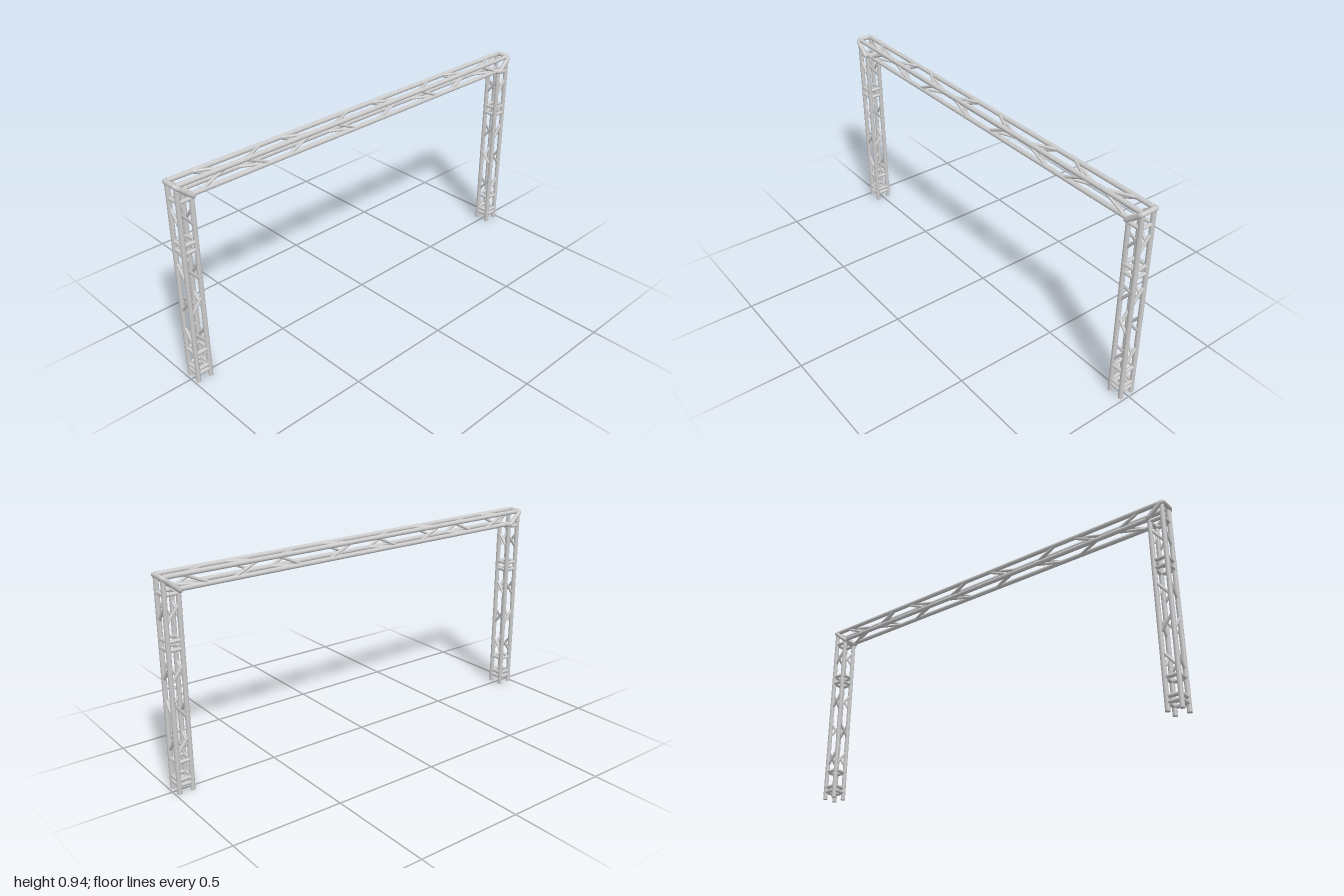
import * as THREE from 'three';

const material = new THREE.MeshStandardMaterial({ color: 0xcccccc });
const V = (x, y, z) => new THREE.Vector3(x, y, z);

const R = 0.0105;          // main tube radius
const BRACE = 0.0065;      // diagonal radius
const RUNG = 0.0085;       // ladder rung radius
const D = 0.031;           // half spacing of the main tubes in z
const OUT = 0.982, IN = 0.921;   // leg tube centres in x
const TOP = 0.934, LOW = 0.877;  // beam tube centres in y

// Round bar between two points
function bar(parent, name, a, b, radius, sides = 16) {
  const dir = b.clone().sub(a);
  const mesh = new THREE.Mesh(new THREE.CylinderGeometry(radius, radius, dir.length(), sides), material);
  mesh.position.copy(a).lerp(b, 0.5);
  mesh.quaternion.setFromUnitVectors(V(0, 1, 0), dir.normalize());
  mesh.name = name;
  parent.add(mesh);
}

// Four-tube leg with rungs and one diagonal per face, opposite faces mirrored
function createLeg(side) {
  const leg = new THREE.Group();
  leg.name = side > 0 ? 'leftLeg' : 'rightLeg';
  const mid = (OUT + IN) / 2, h = (OUT - IN) / 2;
  const at = (u, y, z) => V(side * (mid + u), y, z);

  for (const z of [-D, D]) {
    bar(leg, 'legOuterTube', at(h, 0, z), at(h, TOP, z), R);
    bar(leg, 'legInnerTube', at(-h, 0, z), at(-h, LOW, z), R);
  }
  for (const y of [0.038, 0.062, 0.143, 0.633, 0.67, 0.862]) {
    for (const f of [-1, 1]) {
      bar(leg, 'rung', at(-h, y, f * D), at(h, y, f * D), RUNG, 12);
      bar(leg, 'rung', at(f * h, y, -D), at(f * h, y, D), RUNG, 12);
    }
  }
  const rise = 0.039;
  [[0.215, 1], [0.372, -1], [0.53, 1], [0.782, 1]].forEach(([y, s]) => {
    for (const f of [-1, 1]) {
      const d = rise * s * f;
      bar(leg, 'legDiagonal', at(f * h, y - d, D), at(f * h, y + d, -D), BRACE, 12);
      bar(leg, 'legDiagonal', at(-h, y - d, f * D), at(h, y + d, f * D), BRACE, 12);
    }
  });
  return leg;
}

// Horizontal beam with mitred tubes and alternating diagonals on its four faces
function createBeam() {
  const beam = new THREE.Group();
  beam.name = 'beam';
  for (const z of [-D, D]) {
    bar(beam, 'beamUpperTube', V(-OUT, TOP, z), V(OUT, TOP, z), R);
    bar(beam, 'beamLowerTube', V(-IN, LOW, z), V(IN, LOW, z), R);
  }
  const run = 0.063;
  [-0.815, -0.6, -0.382, -0.123, 0.14, 0.4, 0.617, 0.84].forEach((x, i) => {
    const s = i % 2 ? -1 : 1;
    for (const f of [-1, 1]) {
      const d = run * s * f;
      bar(beam, 'beamDiagonal', V(x - d, LOW, f * D), V(x + d, TOP, f * D), BRACE, 12);
      bar(beam, 'beamDiagonal', V(x - d, f > 0 ? TOP : LOW, -D), V(x + d, f > 0 ? TOP : LOW, D), BRACE, 12);
    }
  });
  return beam;
}

// Rounded rectangular ring lying in the mitre plane of a corner
function createCornerRing(side) {
  const corners = [
    V(side * 0.989, TOP, 0.039), V(side * 0.989, TOP, -0.039),
    V(side * 0.914, 0.871, -0.043), V(side * 0.914, 0.871, 0.043),
  ];
  const path = new THREE.CurvePath();
  const toward = (a, b) => a.clone().add(b.clone().sub(a).setLength(0.014));
  corners.forEach((c, i) => {
    const prev = corners[(i + 3) % 4], next = corners[(i + 1) % 4];
    path.add(new THREE.QuadraticBezierCurve3(toward(c, prev), c, toward(c, next)));
    path.add(new THREE.LineCurve3(toward(c, next), toward(next, c)));
  });
  const ring = new THREE.Mesh(new THREE.TubeGeometry(path, 96, R, 16, true), material);
  ring.name = side > 0 ? 'leftCornerRing' : 'rightCornerRing';
  return ring;
}

export function createModel() {
  const model = new THREE.Group();
  model.name = 'trussGate';
  model.add(createBeam());
  for (const side of [-1, 1]) model.add(createLeg(side), createCornerRing(side));
  return model;
}
